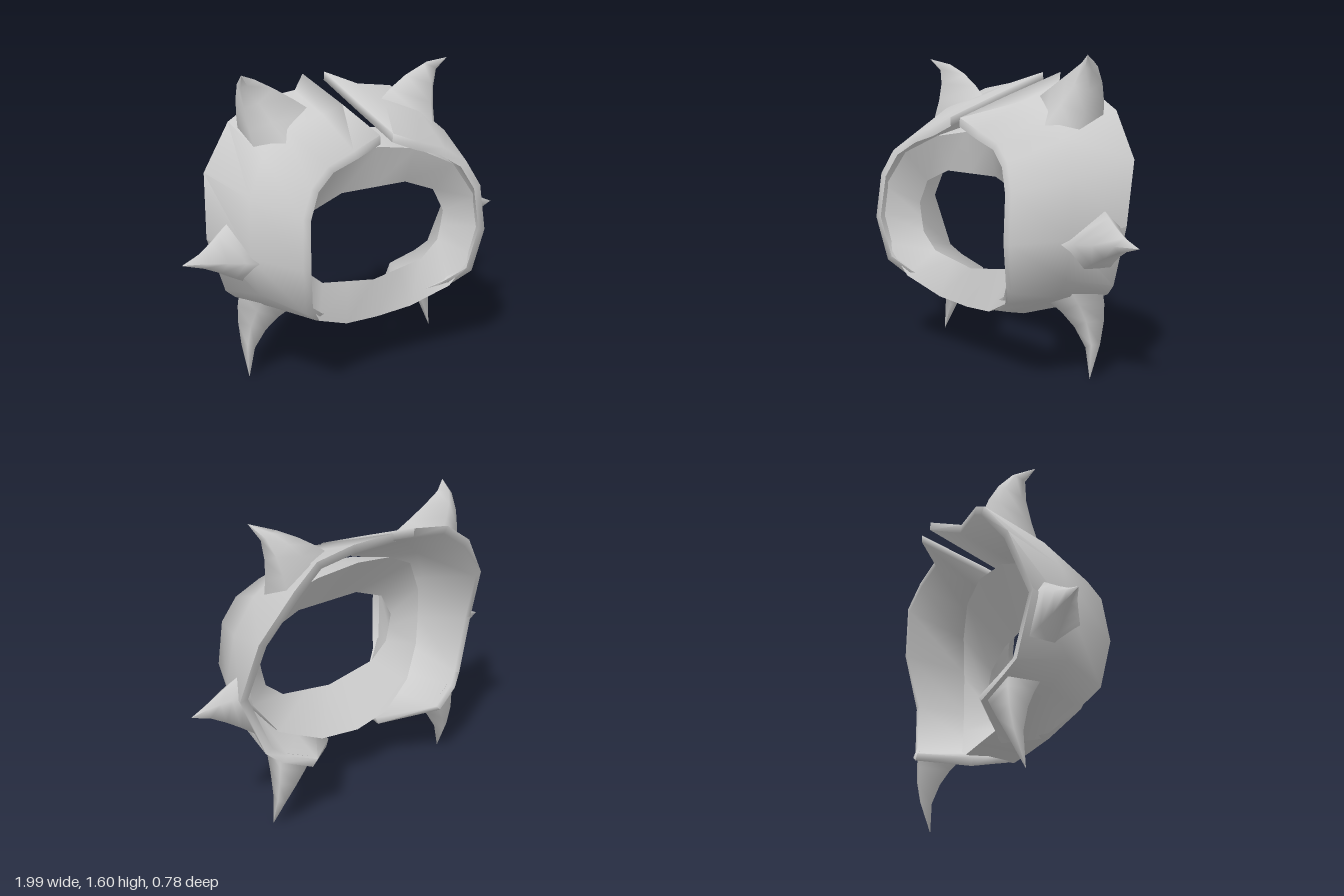
import * as THREE from 'three';
import { toCreasedNormals } from 'three/addons/utils/BufferGeometryUtils.js';

// Skin closed cross-sections; side -1 mirrors in x and keeps faces outward.
function loft(name, sections, { side = 1, caps = false, closed = false, crease = 1.75 } = {}) {
  const rings = sections.map(r => {
    const pts = r.map(([x, y, z]) => [x * side, y, z]);
    return side < 0 ? pts.reverse() : pts;
  });
  const n = rings[0].length, m = rings.length, index = [];
  const quad = (a, b, c, d) => index.push(a, b, c, a, c, d);
  for (let i = 0; i < (closed ? m : m - 1); i++) {
    const k = (i + 1) % m;
    for (let j = 0; j < n; j++) {
      const l = (j + 1) % n;
      quad(i * n + j, k * n + j, k * n + l, i * n + l);
    }
  }
  if (caps) for (let j = 0; j < n / 2 - 1; j++) {
    const q = [j, j + 1, n - 2 - j, n - 1 - j], e = (m - 1) * n;
    quad(...q);
    quad(...q.map(v => v + e).reverse());
  }
  const g = new THREE.BufferGeometry();
  g.setAttribute('position', new THREE.Float32BufferAttribute(rings.flat(2), 3));
  g.setIndex(index);
  const mesh = new THREE.Mesh(toCreasedNormals(g, crease),
    new THREE.MeshStandardMaterial({ color: 0xcccccc, side: THREE.DoubleSide }));
  mesh.name = name;
  return mesh;
}

// Curved spike: the flared base outline, sunk in the shell, shrinks along a bent path to the tip.
function horn(name, base, bend, tip, side, flare) {
  const c = [0, 1, 2].map(k => base.reduce((s, p) => s + p[k], 0) / base.length);
  const path = new THREE.QuadraticBezierCurve3(
    new THREE.Vector3(...c), new THREE.Vector3(...bend), new THREE.Vector3(...tip));
  const sections = [0, 0.2, 0.4, 0.65, 1].map(t => {
    const o = path.getPoint(t).toArray(), s = (1 - t) ** flare;
    return base.map(p => p.map((v, k) => o[k] + (v - c[k]) * s));
  });
  return loft(name, sections, { side });
}

// Shell outer surface, from the top gap round to the bottom: front, middle, back.
const shellStations = [
  [[0.04, 1.29, 0.27], [0.05, 1.40, -0.04], [0.07, 1.52, -0.39]],
  [[0.20, 1.23, 0.275], [0.20, 1.37, 0], [0.20, 1.46, -0.26]],
  [[0.36, 1.18, 0.29], [0.42, 1.33, 0], [0.43, 1.43, -0.27]],
  [[0.48, 1.10, 0.33], [0.57, 1.21, 0.04], [0.58, 1.33, -0.29]],
  [[0.55, 0.97, 0.365], [0.67, 1.02, 0.08], [0.75, 1.10, -0.24]],
  [[0.57, 0.73, 0.39], [0.70, 0.74, 0.12], [0.80, 0.79, -0.14]],
  [[0.53, 0.49, 0.345], [0.65, 0.54, 0.11], [0.69, 0.48, -0.175]],
  [[0.43, 0.41, 0.28], [0.54, 0.43, 0.06], [0.62, 0.42, -0.21]],
  [[0.30, 0.35, 0.22], [0.39, 0.36, 0.01], [0.46, 0.35, -0.25]],
  [[0.19, 0.32, 0.19], [0.19, 0.29, 0.08], [0.19, 0.265, -0.03]],
];

// Inner copy of a point, one wall thickness towards the opening's centre.
function inset([x, y, z]) {
  const dx = -x, dy = 0.8 - y, d = 0.045 / Math.hypot(dx, dy);
  return [x + dx * d, y + dy * d, z];
}

// Collar half outline: inner x, y, outer x, y.
const collarHalf = [
  [0, 1.0, 0, 1.215], [0.2, 1.0, 0.22, 1.185], [0.39, 0.93, 0.42, 1.09], [0.465, 0.8, 0.535, 0.9],
  [0.45, 0.72, 0.545, 0.74], [0.43, 0.64, 0.53, 0.58], [0.32, 0.55, 0.42, 0.41],
  [0.16, 0.525, 0.21, 0.32], [0, 0.5, 0, 0.30],
];

function collar() {
  const left = collarHalf.slice(1, -1).reverse().map(([a, b, c, d]) => [-a, b, -c, d]);
  const sections = [...collarHalf, ...left].map(([ix, iy, ox, oy]) => {
    const f = 0.13 * (ox / 0.5) ** 2; // sides sweep forward
    return [
      [ox, oy, 0.2 + f],
      [ox * 1.1, (oy - 0.76) * 1.05 + 0.8, -0.07 + f],
      [ix, iy, 0.17],
    ];
  });
  return loft('collar', sections, { closed: true, crease: 1 });
}

export function createModel() {
  const model = new THREE.Group();
  model.name = 'spikedCollar';
  model.add(collar());
  for (const [label, side] of [['left', 1], ['right', -1]]) {
    const half = new THREE.Group();
    half.name = label + 'Half';
    half.add(loft(label + 'Shell',
      shellStations.map(s => [...s, ...s.map(inset).reverse()]), { side, caps: true }));
    half.add(horn(label + 'TopHorn',
      [[0.56, 1.27, -0.22], [0.565, 1.19, -0.03], [0.45, 1.25, 0.08], [0.18, 1.36, -0.08], [0.42, 1.38, -0.24]],
      [0.57, 1.57, -0.17], [0.635, 1.595, -0.03], side, 1.5));
    half.add(horn(label + 'SideHorn',
      [[0.73, 0.88, -0.05], [0.765, 0.80, -0.125], [0.71, 0.58, -0.13], [0.65, 0.57, 0.02], [0.65, 0.72, 0.18]],
      [0.86, 0.73, 0], [0.995, 0.725, -0.015], side, 1.4));
    half.add(horn(label + 'BottomHorn',
      [[0.57, 0.48, 0.02], [0.61, 0.46, -0.18], [0.44, 0.39, -0.22], [0.40, 0.39, 0.01]],
      [0.6, 0.24, -0.185], [0.61, 0, -0.1], side, 1.3));
    model.add(half);
  }
  return model;
}
